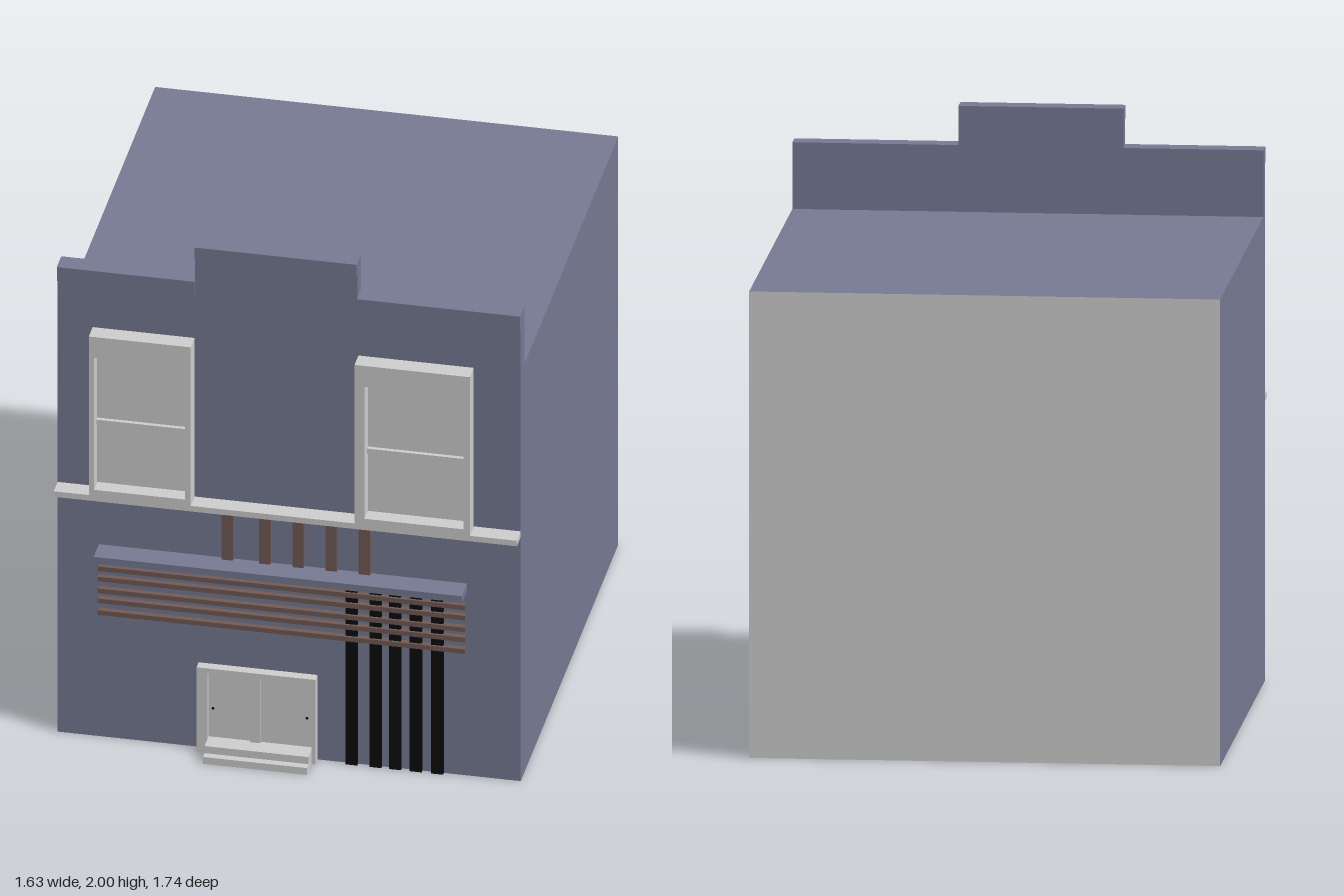
import * as THREE from 'three';

const mat = (name, color, side = THREE.FrontSide) => {
  const m = new THREE.MeshStandardMaterial({ color, side });
  m.name = name;
  return m;
};

export function createModel() {
  const root = new THREE.Group();
  root.name = 'shopBuilding';
  const blue = mat('slateBlueWall', 0x777b94, THREE.DoubleSide);
  const grey = mat('lightGreyTrim', 0xcfcfcf, THREE.DoubleSide);
  const brown = mat('brownWood', 0x725b56);
  const black = mat('blackBars', 0x0a0a0a);

  // Box given by its lower and upper limits
  const box = (parent, name, material, x0, x1, y0, y1, z0, z1) => {
    const mesh = new THREE.Mesh(new THREE.BoxGeometry(x1 - x0, y1 - y0, z1 - z0), material);
    mesh.position.set((x0 + x1) / 2, (y0 + y1) / 2, (z0 + z1) / 2);
    mesh.name = name;
    parent.add(mesh);
  };
  const group = (name) => {
    const g = new THREE.Group();
    g.name = name;
    root.add(g);
    return g;
  };

  const W = 0.813, H = 1.63, FRONT = 0.76, BACK = -0.87;
  const depth = FRONT - BACK, midZ = (FRONT + BACK) / 2;

  // Hollow shell, open underneath
  const shell = group('shell');
  const panel = (name, material, w, h, pos, rx, ry) => {
    const mesh = new THREE.Mesh(new THREE.PlaneGeometry(w, h), material);
    mesh.position.set(...pos);
    mesh.rotation.set(rx, ry, 0);
    mesh.name = name;
    shell.add(mesh);
  };
  panel('frontWall', blue, W * 2, H, [0, H / 2, FRONT], 0, 0);
  panel('backWall', grey, W * 2, H, [0, H / 2, BACK], 0, Math.PI);
  panel('leftWall', blue, depth, H, [W, H / 2, midZ], 0, Math.PI / 2);
  panel('rightWall', blue, depth, H, [-W, H / 2, midZ], 0, -Math.PI / 2);
  panel('roof', blue, W * 2, depth, [0, H, midZ], -Math.PI / 2, 0);

  // Stepped parapet with projecting caps
  const parapet = group('parapet');
  for (const [x0, x1, top, cap] of [
    [-W, -0.33, 1.863, 0.055],
    [-0.33, 0.24, 2.0, 0.045],
    [0.24, W, 1.863, 0.06],
  ]) {
    box(parapet, 'parapetWall', blue, x0, x1, H, top - cap, 0.7, FRONT);
    box(parapet, 'parapetCap', blue, x0, x1, top - cap, top, 0.7, 0.775);
  }

  // Sash windows: deep frame, recessed pane, meeting rail
  const makeWindow = (name, x0, x1, in0, in1) => {
    const g = group(name);
    box(g, 'header', grey, x0, x1, 1.547, H, FRONT, 0.825);
    box(g, 'jamb', grey, x0, in0, 0.997, 1.547, FRONT, 0.825);
    box(g, 'jamb', grey, in1, x1, 0.997, 1.547, FRONT, 0.825);
    box(g, 'bottomRail', grey, in0, in1, 0.997, 1.02, FRONT, 0.825);
    box(g, 'pane', grey, in0, in1, 1.02, 1.547, 0.752, 0.77);
    box(g, 'meetingRail', grey, in0, in1, 1.255, 1.277, 0.77, 0.785);
  };
  makeWindow('rightWindow', -0.69, -0.332, -0.672, -0.352);
  makeWindow('leftWindow', 0.243, 0.648, 0.278, 0.625);
  box(root, 'sillBand', grey, -W, W, 0.975, 0.997, FRONT, 0.825);

  // Shop ledge with slats above and below it
  box(root, 'shopLedge', blue, -0.668, 0.625, 0.74, 0.766, FRONT, 0.848);
  const slats = group('woodSlats');
  for (const x of [-0.215, -0.083, 0.034, 0.15, 0.267])
    box(slats, 'uprightSlat', brown, x - 0.02, x + 0.02, 0.766, 0.975, 0.752, 0.775);
  for (const y of [0.68, 0.639, 0.592, 0.552, 0.505])
    box(slats, 'crossSlat', brown, -0.668, 0.622, y - 0.009, y + 0.009, 0.7605, 0.781);

  // Tall dark bars
  const bars = group('darkBars');
  for (const x of [0.221, 0.305, 0.374, 0.447, 0.522])
    box(bars, 'bar', black, x - 0.021, x + 0.021, 0, 0.74, 0.752, 0.773);

  // Double door with frame, knobs and steps
  const door = group('door');
  box(door, 'doorPost', grey, -0.318, -0.28, 0, 0.337, FRONT, 0.795);
  box(door, 'doorPost', grey, 0.085, 0.1, 0, 0.337, FRONT, 0.795);
  box(door, 'doorHeader', grey, -0.28, 0.085, 0.318, 0.337, FRONT, 0.795);
  box(door, 'centrePost', grey, -0.132, -0.096, 0.055, 0.318, FRONT, 0.785);
  for (const [x0, x1, knob] of [[-0.28, -0.132, -0.264], [-0.096, 0.085, 0.066]]) {
    box(door, 'doorLeaf', grey, x0, x1, 0.02, 0.318, 0.7605, 0.775);
    const k = new THREE.Mesh(new THREE.SphereGeometry(0.005, 8, 6), black);
    k.position.set(knob, 0.17, 0.777);
    k.name = 'doorKnob';
    door.add(k);
  }
  box(door, 'upperStep', grey, -0.28, 0.085, 0.027, 0.055, FRONT, 0.843);
  box(door, 'lowerStep', grey, -0.28, 0.085, 0, 0.027, FRONT, 0.87);

  return root;
}
